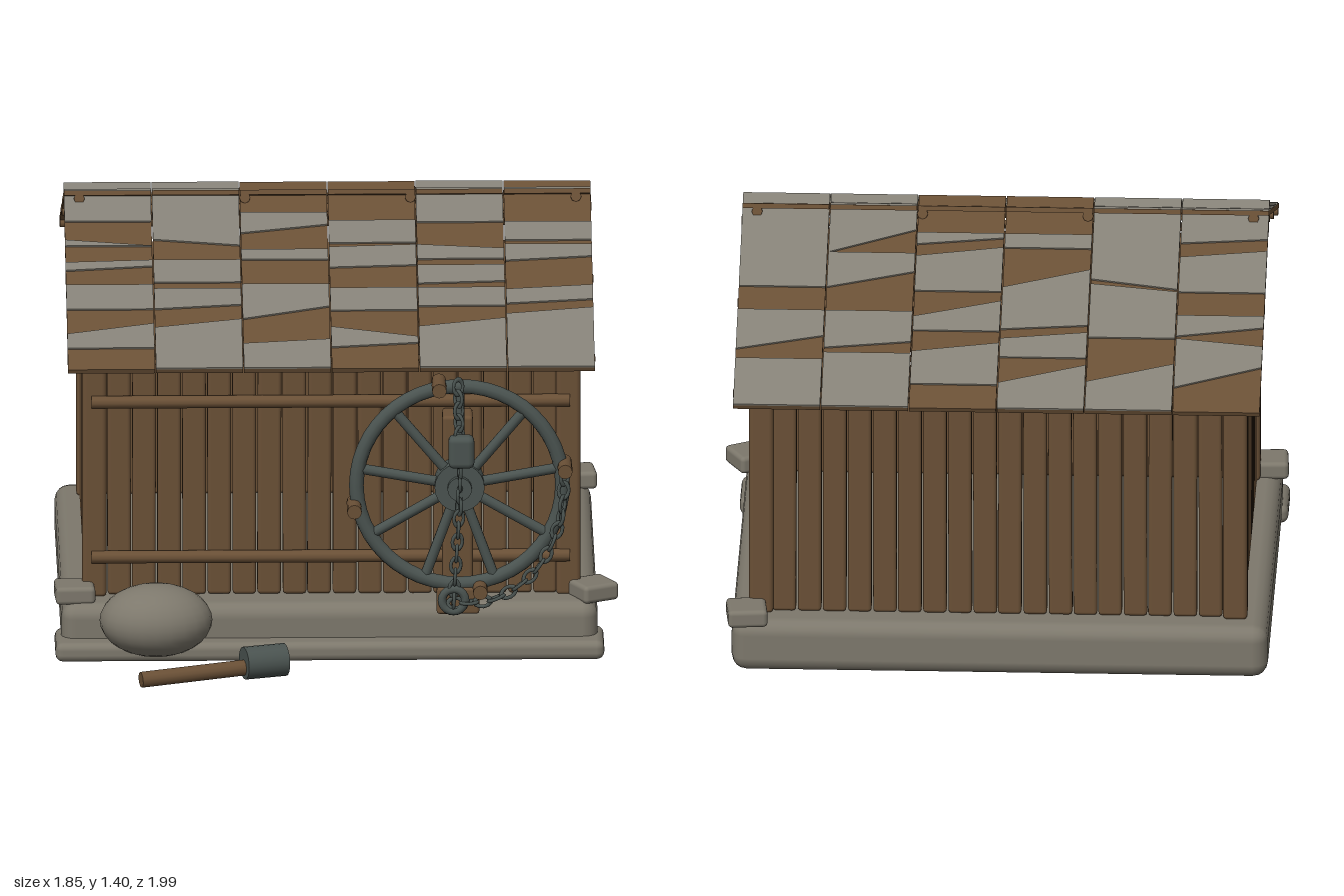
import * as THREE from 'three';
import { RoundedBoxGeometry } from 'three/addons/geometries/RoundedBoxGeometry.js';

const paint = (name, color) => {
  const m = new THREE.MeshStandardMaterial({ color });
  m.name = name;
  return m;
};

export function createModel() {
  const wood = paint('brown wood', 0x6a5036);
  const greyWood = paint('weathered wood', 0x858177);
  const stone = paint('stone', 0x7d786c);
  const iron = paint('iron', 0x4a5350);
  const root = new THREE.Group();

  let seed = 7;
  const rnd = () => (seed = (seed * 16807) % 2147483647) / 2147483647 - 0.5;

  const add = (parent, name, geo, mat, x = 0, y = 0, z = 0) => {
    const m = new THREE.Mesh(geo, mat);
    m.name = name;
    m.position.set(x, y, z);
    parent.add(m);
    return m;
  };
  const group = (name, parent = root) => {
    const g = new THREE.Group();
    g.name = name;
    parent.add(g);
    return g;
  };
  const block = (w, h, d, r = 0.012) => new RoundedBoxGeometry(w, h, d, 2, r);
  // round bar between two points
  const bar = (parent, name, mat, a, b, r, sides = 10) => {
    const p = new THREE.Vector3(...a), q = new THREE.Vector3(...b);
    const dir = q.clone().sub(p);
    const m = add(parent, name, new THREE.CylinderGeometry(r, r, dir.length(), sides), mat);
    m.position.copy(p).add(q).multiplyScalar(0.5);
    m.quaternion.setFromUnitVectors(new THREE.Vector3(0, 1, 0), dir.normalize());
    return m;
  };

  // stone base, front step and corner stones
  add(root, 'foundation', block(1.76, 0.18, 1.43, 0.05), stone, -0.02, 0.09, -0.115);
  add(root, 'frontStep', block(1.8, 0.065, 0.21, 0.025), stone, -0.02, 0.035, 0.56);
  [[-0.855, 0.5, 0.05], [0.845, 0.5, 0.5], [0.81, -0.79, 0.1]].forEach(([x, z, turn]) => {
    add(root, 'cornerStone', block(0.13, 0.06, 0.13, 0.015), stone, x, 0.2, z).rotation.y = turn;
  });
  const boulder = add(root, 'boulder', new THREE.SphereGeometry(1, 24, 16), stone, -0.59, 0.14, 0.63);
  boulder.scale.set(0.185, 0.12, 0.145);

  // plank walls: a row of boards from one end to the other
  const wall = (name, mat, count, from, to, fixed, alongX, top) => {
    const g = group(name);
    const pitch = (to - from) / count;
    for (let i = 0; i < count; i++) {
      const h = top - 0.18 + rnd() * 0.012;
      const w = pitch * 0.94;
      const c = from + pitch * (i + 0.5);
      const geo = alongX ? block(w, h, 0.06) : block(0.06, h, w);
      const board = add(g, 'plank', geo, mat, alongX ? c : fixed, 0.18 + h / 2, alongX ? fixed : c);
      board.rotation[alongX ? 'z' : 'x'] = rnd() * 0.008;
    }
  };
  wall('frontWall', wood, 18, -0.75, 0.73, 0.45, true, 1.03);
  wall('backWall', wood, 18, -0.75, 0.73, -0.7, true, 1.03);
  wall('rightWall', greyWood, 11, -0.635, 0.39, 0.765, false, 1.02);
  wall('leftWall', wood, 11, -0.655, 0.405, -0.79, false, 1.02);
  [-0.79, 0.765].forEach(x => [-0.7, 0.45].forEach(z =>
    add(root, 'cornerPost', block(0.08, 0.87, 0.085, 0.015), wood, x, 0.61, z)));
  [0.315, 0.845].forEach(y => bar(root, 'wallRail', wood, [-0.8, y, 0.495], [0.77, y, 0.495], 0.021));

  // roof: six board columns per slope with weathered patches, each given as
  // low-left, low-right, high-left, high-right distances from the eave
  const frontPatches = [
    [[10, 10, 17, 22], [29, 29, 41, 41], [48, 50, 52, 53], [60, 60, 63, 60], [72, 72, 91, 91]],
    [[0, 0, 20, 24], [29, 31, 39, 39], [42, 42, 53, 53], [63, 60, 91, 91]],
    [[0, 0, 12, 14], [24, 30, 41, 41], [53, 53, 58, 58], [66, 70, 76, 76]],
    [[10, 12, 20, 15], [28, 28, 39, 39], [49, 50, 59, 60], [61, 61, 72, 72]],
    [[0, 0, 20, 24], [30, 30, 39, 39], [41, 42, 50, 50], [53, 53, 60, 58], [71, 71, 91, 91]],
    [[0, 0, 26, 29], [31, 33, 38, 40], [52, 54, 60, 60], [62, 62, 71, 71]],
  ];
  const backPatches = [
    [[19, 10, 28, 31], [36, 32, 41, 41], [51, 51, 69, 66], [74, 72, 91, 91]],
    [[0, 0, 20, 12], [31, 31, 51, 54], [52, 56, 91, 91]],
    [[0, 0, 19, 11], [22, 22, 33, 30], [36, 34, 60, 52], [69, 69, 75, 75]],
    [[10, 10, 28, 24], [33, 33, 46, 39], [50, 50, 69, 65], [73, 70, 75, 75]],
    [[0, 0, 23, 23], [28, 25, 41, 41], [58, 51, 66, 66], [76, 66, 91, 91]],
    [[0, 0, 20, 20], [30, 24, 41, 41], [51, 51, 91, 91]],
  ];
  const pitchAngle = Math.atan(0.4), cos = Math.cos(pitchAngle), slopeLength = 0.915 / cos;
  const roofSlope = (name, eaveZ, patches) => {
    const turned = group(name);
    const side = Math.sign(eaveZ);
    turned.rotation.y = side > 0 ? 0 : Math.PI;
    const slope = group('slope', turned);
    slope.position.set(0, 1.03, Math.abs(eaveZ));
    slope.rotation.x = pitchAngle - Math.PI / 2;
    patches.forEach((column, i) => {
      const x0 = -0.88 + i * 0.2885, x1 = x0 + 0.285;
      add(slope, 'roofBoard', new THREE.BoxGeometry(0.285, slopeLength, 0.016), wood,
        side * (x0 + x1) / 2, slopeLength / 2, -0.008);
      column.forEach(([a, b, c, d]) => {
        const corners = [[x0, a], [x1, b], [x1, d], [x0, c]].map(([x, s]) =>
          new THREE.Vector2(side * x, s / 100 / cos));
        const geo = new THREE.ExtrudeGeometry(new THREE.Shape(corners), { depth: 0.006, bevelEnabled: false });
        add(slope, 'weatheredPatch', geo, greyWood);
      });
    });
    // rafters and purlins under the boards
    for (let i = 0; i < 4; i++) {
      const x = side * (-0.83 + i * 0.543);
      bar(slope, 'rafter', wood, [x, 0.05, -0.026], [x, slopeLength, -0.026], 0.018, 8);
    }
    [0.08, 0.5, 0.88].forEach(s =>
      bar(slope, 'purlin', wood, [-0.865 - 0.015 * side, s, -0.025], [0.865 - 0.015 * side, s, -0.025], 0.014, 8));
  };
  roofSlope('frontRoof', 0.74, frontPatches);
  roofSlope('backRoof', -1, backPatches);

  // spoked wheel on a post
  add(root, 'wheelPost', block(0.1, 0.64, 0.11), wood, 0.4, 0.5, 0.54);
  const wheel = group('wheel');
  wheel.position.set(0.405, 0.6, 0.64);
  add(wheel, 'rim', new THREE.TorusGeometry(0.338, 0.024, 10, 48), iron);
  bar(wheel, 'hub', iron, [0, 0, -0.05], [0, 0, 0.035], 0.082, 24);
  bar(wheel, 'axle', iron, [0, 0, -0.06], [0, 0, 0.055], 0.04, 16);
  const polar = (deg, r, z) => {
    const t = THREE.MathUtils.degToRad(deg);
    return [Math.cos(t) * r, Math.sin(t) * r, z];
  };
  for (let i = 0; i < 9; i++) {
    bar(wheel, 'spoke', iron, polar(10 + i * 40, 0.06, 0), polar(10 + i * 40, 0.33, 0), 0.017);
  }
  [11, 101, 191, 281].forEach(deg =>
    bar(wheel, 'handlePeg', wood, polar(deg, 0.352, -0.04), polar(deg, 0.352, 0.085), 0.024, 12));

  // chains of alternating links
  const link = new THREE.TorusGeometry(0.017, 0.006, 6, 12);
  link.scale(1, 1.5, 1);
  const chain = (name, points, count) => {
    const g = group(name);
    const curve = new THREE.CatmullRomCurve3(points.map(p => new THREE.Vector3(...p)));
    for (let i = 0; i < count; i++) {
      const t = i / (count - 1);
      const m = add(g, 'chainLink', link, iron);
      m.position.copy(curve.getPointAt(t));
      m.quaternion.setFromUnitVectors(new THREE.Vector3(0, 1, 0), curve.getTangentAt(t));
      m.rotateY(i % 2 ? Math.PI / 2 : 0.2);
    }
  };
  chain('hangingChain', [[0.4, 0.95, 0.69], [0.405, 0.6, 0.705], [0.385, 0.22, 0.69]], 19);
  chain('sideChain', [[0.75, 0.64, 0.69], [0.73, 0.48, 0.7], [0.65, 0.32, 0.7], [0.52, 0.225, 0.69], [0.39, 0.21, 0.69]], 15);
  add(root, 'chainWeight', block(0.085, 0.11, 0.06, 0.02), iron, 0.41, 0.735, 0.71);
  add(root, 'chainPlate', block(0.14, 0.09, 0.07, 0.01), wood, 0.4, 0.21, 0.635);
  add(root, 'chainRing', new THREE.TorusGeometry(0.038, 0.014, 8, 20), iron, 0.385, 0.22, 0.69);

  // mallet lying on the ground
  const mallet = group('mallet');
  bar(mallet, 'malletHandle', wood, [-0.645, 0.035, 0.965], [-0.3, 0.045, 0.862], 0.026, 12);
  bar(mallet, 'malletHead', iron, [-0.305, 0.06, 0.864], [-0.17, 0.06, 0.822], 0.054, 20);

  return root;
}
